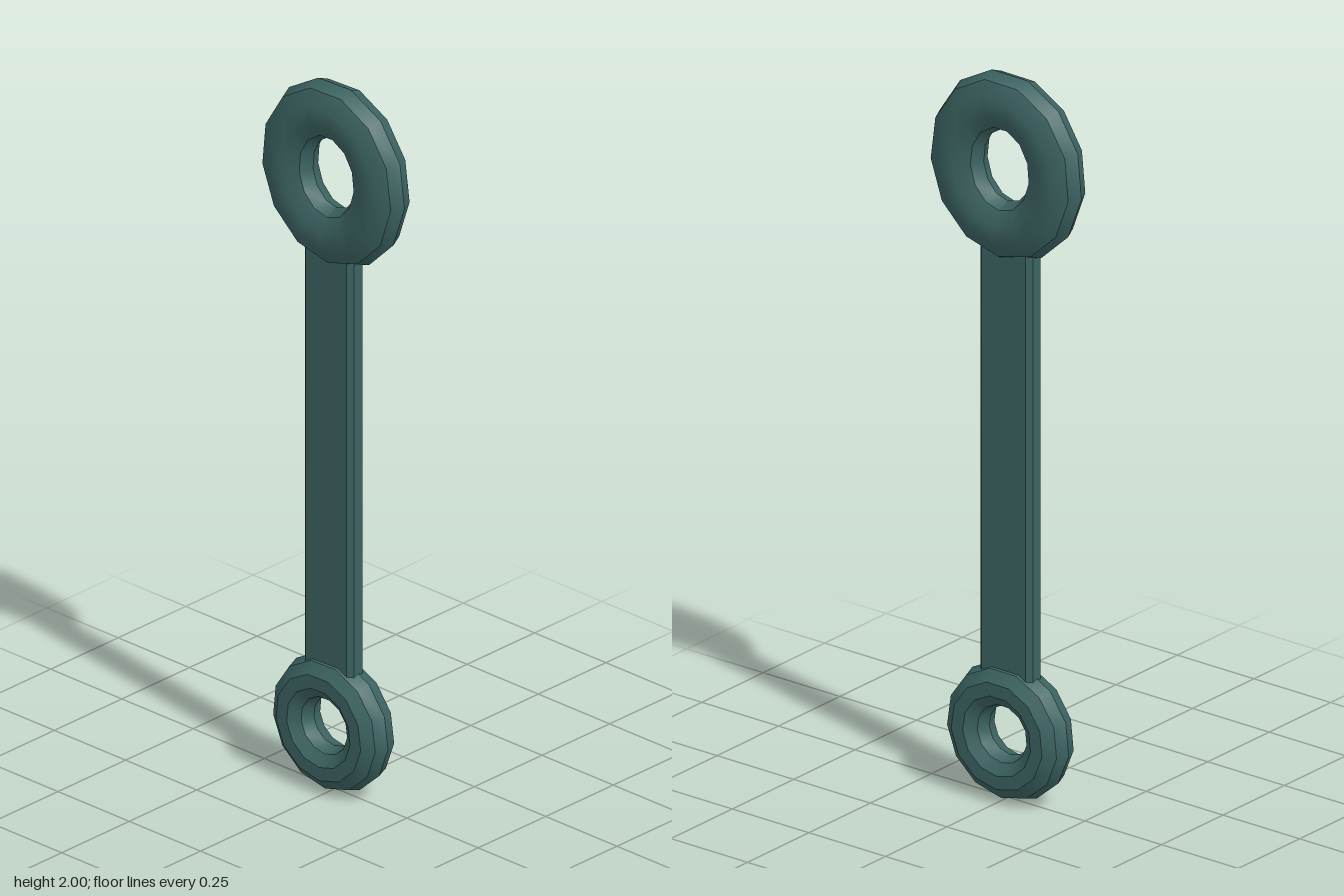
import * as THREE from 'three';
import { toCreasedNormals } from 'three/addons/utils/BufferGeometryUtils.js';

const material = new THREE.MeshStandardMaterial({ color: 0x3b6361 });

// Faceted ring whose path is lengthened in y by "stretch" while the tube keeps its width
function ring(name, radius, tube, halfDepth, stretch) {
  const geo = new THREE.TorusGeometry(radius, tube, 10, 13);
  geo.rotateZ(THREE.MathUtils.degToRad(21.85));
  geo.scale(1, 1, halfDepth / (tube * Math.sin(Math.PI * 0.4)));
  const p = geo.attributes.position;
  for (let i = 0; i < p.count; i++) {
    const x = p.getX(i), y = p.getY(i);
    p.setY(i, y + stretch * y / Math.hypot(x, y));
  }
  const mesh = new THREE.Mesh(toCreasedNormals(geo, 0.54), material);
  mesh.name = name;
  return mesh;
}

// Flat bar with chamfered long edges, running up y
function bar(halfWidth, halfDepth, chamfer, bottom, top) {
  const w = halfWidth, d = halfDepth, c = chamfer;
  const outline = [
    [w, -d + c], [w, d - c], [w - c, d], [-w + c, d],
    [-w, d - c], [-w, -d + c], [-w + c, -d], [w - c, -d],
  ].map(([x, y]) => new THREE.Vector2(x, y));
  const geo = new THREE.ExtrudeGeometry(new THREE.Shape(outline), {
    depth: top - bottom, bevelEnabled: false,
  });
  geo.rotateX(-Math.PI / 2);
  const mesh = new THREE.Mesh(geo, material);
  mesh.name = 'shaft';
  mesh.position.set(-0.007, bottom, 0);
  return mesh;
}

export function createModel() {
  const model = new THREE.Group();
  model.name = 'linkRod';

  // Large eye at the top
  const upper = ring('upperRing', 0.158, 0.079, 0.058, 0.02);
  upper.position.set(-0.001, 1.748, -0.002);

  // Small eye at the bottom
  const lower = ring('lowerRing', 0.128, 0.06, 0.058, 0);
  lower.position.set(-0.007, 0.19, 0);

  model.add(upper, lower, bar(0.084, 0.029, 0.013, 0.33, 1.54));

  // The whole rod is turned very slightly about its length
  model.rotation.y = 0.023;
  return model;
}
